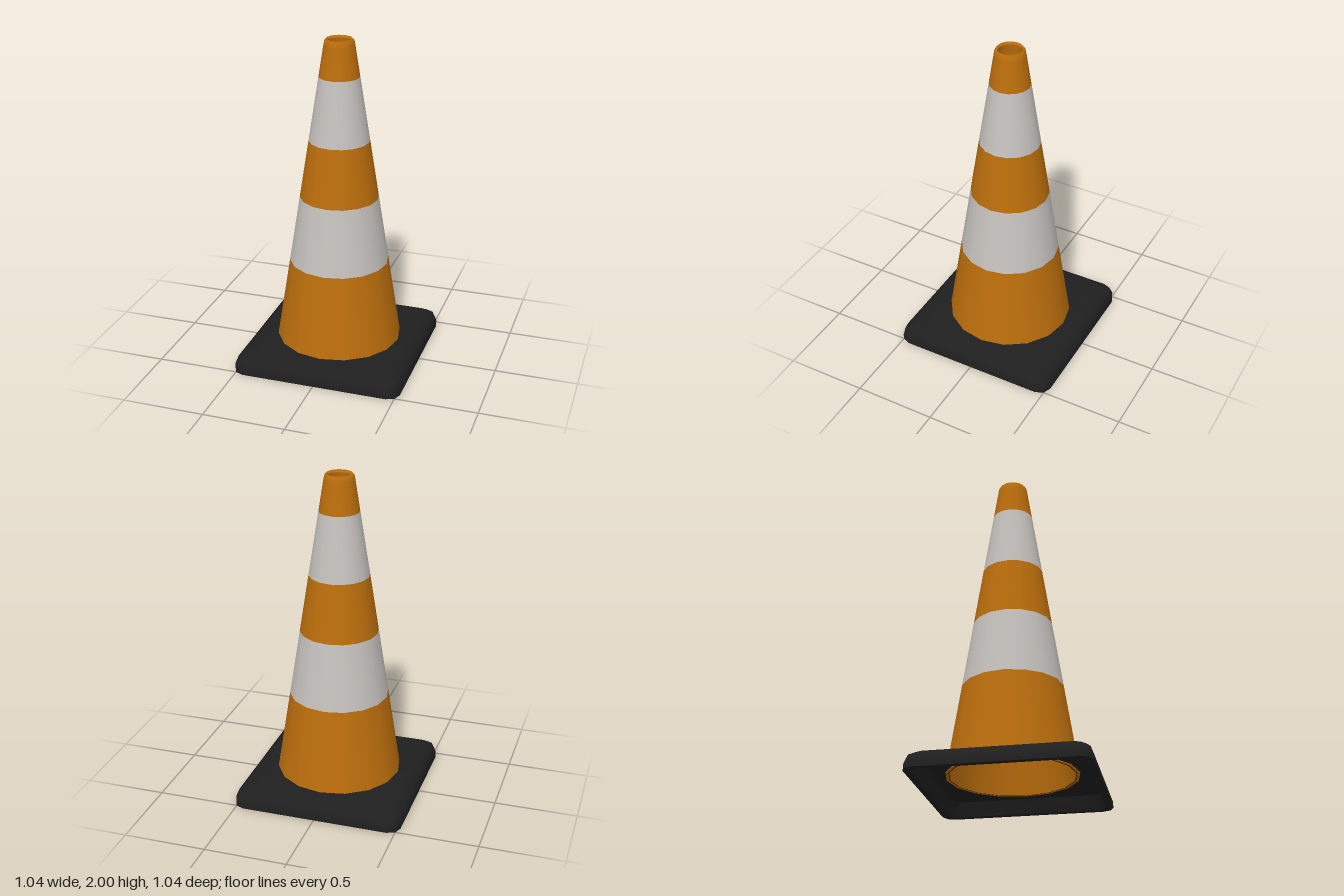
import * as THREE from 'three';
import { mergeGeometries, toCreasedNormals } from 'three/addons/utils/BufferGeometryUtils.js';

const SIDES = 16;
const FLOOR = 0.085; // height of the recessed underside

const material = (name, color) => {
  const m = new THREE.MeshStandardMaterial({ color });
  m.name = name;
  return m;
};

// Outer cone radius at a given height
const radiusAt = (y) => 0.383 - (y - 0.11) * 0.157;

// Square outline with two-step rounded corners, as [x, z] pairs
function roundedSquare(h, c) {
  const m = h - 0.29 * c;
  const corner = [[h, h - c], [m, m], [h - c, h]];
  const points = [];
  for (let q = 0; q < 4; q++) {
    for (let [x, z] of corner) {
      for (let k = 0; k < q; k++) [x, z] = [-z, x];
      points.push([x, z]);
    }
  }
  return points;
}

// Flat plate with a round hole, facing up or down
function plate(h, c, y, up) {
  const shape = new THREE.Shape(roundedSquare(h, c).map(([x, z]) => new THREE.Vector2(x, z)));
  const hole = [];
  for (let i = 0; i < SIDES; i++) {
    const a = (-i / SIDES) * Math.PI * 2;
    hole.push(new THREE.Vector2(0.374 * Math.cos(a), 0.374 * Math.sin(a)));
  }
  shape.holes.push(new THREE.Path(hole));
  const g = new THREE.ShapeGeometry(shape).toNonIndexed();
  g.rotateX(up ? -Math.PI / 2 : Math.PI / 2);
  g.translate(0, y, 0);
  g.deleteAttribute('uv');
  return g;
}

// Base: recess wall, underside lip, rounded outer edge, gently rising top
function baseGeometry() {
  const profile = [
    [0.45, FLOOR, 0.05], [0.482, 0, 0.06], [0.521, 0, 0.07], [0.521, 0.035, 0.07],
    [0.504, 0.081, 0.065], [0.465, 0.105, 0.05], [0.4, 0.114, 0.02],
  ];
  const rings = profile.map(([h, y, c]) => roundedSquare(h, c).map(([x, z]) => [x, y, z]));
  const positions = [];
  for (let i = 0; i < rings.length - 1; i++) {
    const n = rings[i].length;
    for (let j = 0; j < n; j++) {
      const k = (j + 1) % n;
      const [a, b, c, d] = [rings[i][j], rings[i + 1][j], rings[i + 1][k], rings[i][k]];
      positions.push(...a, ...b, ...d, ...b, ...c, ...d);
    }
  }
  const rim = new THREE.BufferGeometry();
  rim.setAttribute('position', new THREE.Float32BufferAttribute(positions, 3));
  rim.computeVertexNormals();
  const all = mergeGeometries([rim, plate(0.4, 0.02, 0.114, true), plate(0.45, 0.05, FLOOR, false)]);
  return toCreasedNormals(all, 0.8);
}

export function createModel() {
  const orange = material('orange', 0xbc6e0c);
  const white = material('reflective white', 0xc6c2be);
  const black = material('black rubber', 0x1f1f1f);

  const group = new THREE.Group();
  group.name = 'trafficCone';
  const add = (name, geometry, mat) => {
    const mesh = new THREE.Mesh(geometry, mat);
    mesh.name = name;
    group.add(mesh);
  };
  const lathe = (points) =>
    new THREE.LatheGeometry(points.map(([r, y]) => new THREE.Vector2(r, y)), SIDES);

  add('base', baseGeometry(), black);

  // Alternating bands of the cone wall
  const bottom = FLOOR - 0.005;
  const heights = [bottom, 0.62, 1.03, 1.385, 1.775, 1.965];
  for (let i = 0; i < heights.length - 1; i++) {
    const [y0, y1] = [heights[i], heights[i + 1]];
    const isWhite = i % 2 === 1;
    add(isWhite ? 'whiteBand' : 'orangeBand',
      lathe([[radiusAt(y0), y0], [radiusAt(y1), y1]]), isWhite ? white : orange);
  }

  // Rounded top lip, hollow inside, bottom edge and its dark seam
  add('topLip', lathe([[radiusAt(1.965), 1.965], [0.087, 1.988], [0.077, 2], [0.07, 1.985]]), orange);
  add('innerWall', lathe([[0.07, 1.985], [0.366, bottom]]), orange);
  add('bottomSeam', lathe([[0.366, bottom], [0.371, bottom]]), black);
  add('bottomEdge', lathe([[0.371, bottom], [radiusAt(bottom), bottom]]), orange);

  return group;
}
